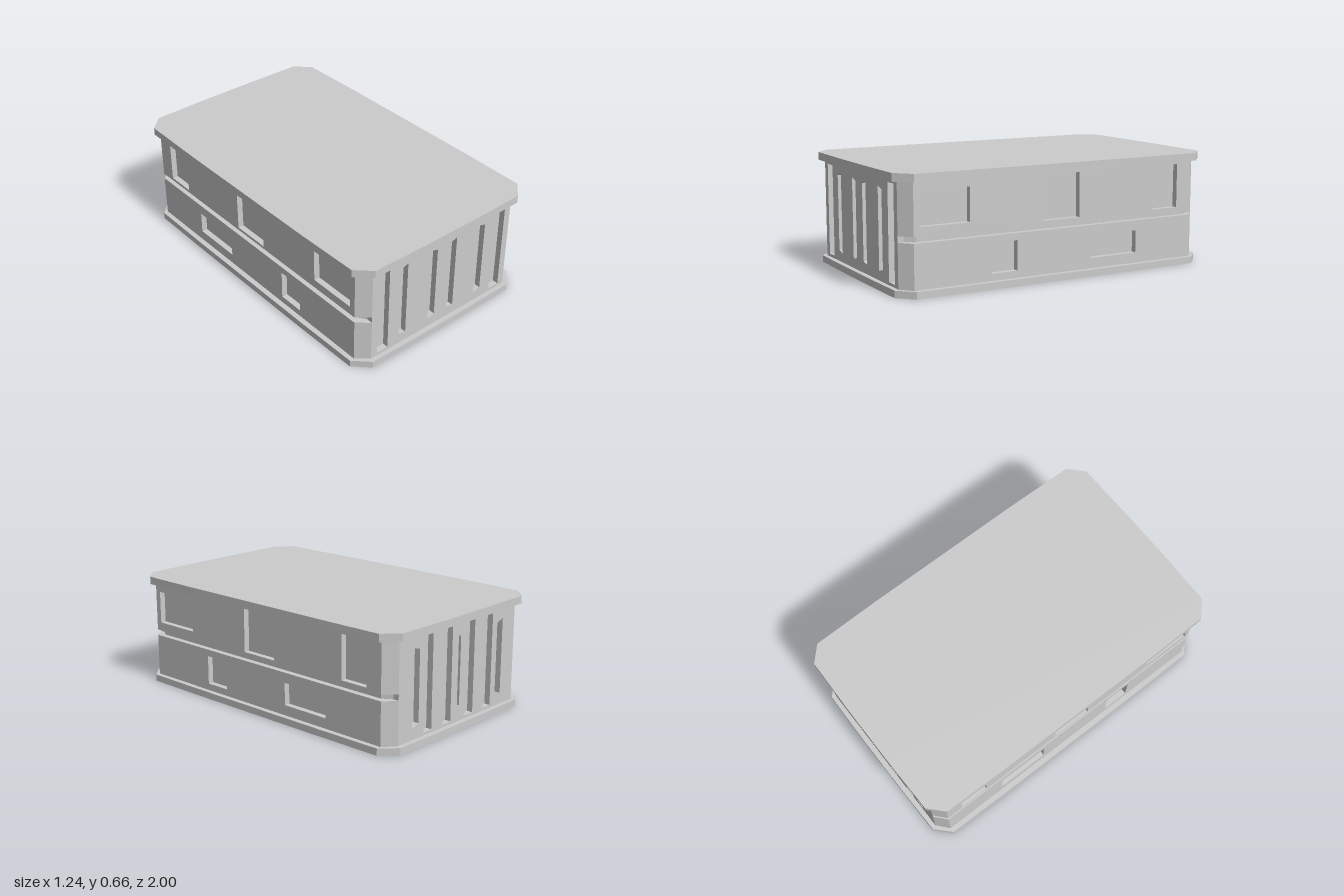
import * as THREE from 'three';

const material = new THREE.MeshStandardMaterial({ color: 0xcccccc, flatShading: true });
const BOTTOM = 0.04, TOP = 0.615;     // body height range
const SKIN = 0.035;                   // depth of recesses and side groove
const TIERS = [[BOTTOM, 0.29], [0.325, TOP]];

const toShape = pts => new THREE.Shape(pts.map(p => new THREE.Vector2(p[0], p[1])));

// upright prism from an (x, z) outline
function prism(name, pts, y0, y1) {
  const geo = new THREE.ExtrudeGeometry(toShape(pts.map(([x, z]) => [x, -z])), { depth: y1 - y0, bevelEnabled: false });
  geo.rotateX(-Math.PI / 2).translate(0, y0, 0);
  const mesh = new THREE.Mesh(geo, material);
  mesh.name = name;
  return mesh;
}

// full outline from the points of the +x +z quarter, listed from the x axis to the z axis
function mirrorQuarter(q) {
  const half = [...q, ...q.slice().reverse().map(([x, z]) => [-x, z])];
  return [...half, ...half.slice().reverse().map(([x, z]) => [x, -z])];
}

// outer wall with recesses cut through it, turned to face its side
function wall(name, halfWidth, [y0, y1], holes, turn, distance) {
  const shape = toShape([[-halfWidth, y0], [halfWidth, y0], [halfWidth, y1], [-halfWidth, y1]]);
  for (const h of holes) shape.holes.push(new THREE.Path(h.map(p => new THREE.Vector2(p[0], p[1]))));
  const geo = new THREE.ExtrudeGeometry(shape, { depth: SKIN, bevelEnabled: false });
  geo.translate(0, 0, distance).rotateY(turn);
  const mesh = new THREE.Mesh(geo, material);
  mesh.name = name;
  return mesh;
}

// four-cornered slot: edge a spans a0..a1, edge b spans b0..b1
const slot = (a, a0, a1, b, b0, b1) => [[a, a0], [b, b0], [b, b1], [a, a1]];
const rect = (a, b, y0, y1) => slot(a, y0, y1, b, y0, y1);
const flip = hole => hole.map(([x, y]) => [-x, y]);
const both = holes => [...holes, ...holes.map(flip)];

export function createModel() {
  const model = new THREE.Group();
  model.name = 'crate';

  // slightly bowed lid and base
  model.add(prism('lid', mirrorQuarter([[0.62, 0.5], [0.614, 0.91], [0.525, 0.994], [0.4, 0.996], [0.2, 1]]), TOP, 0.66));
  model.add(prism('base', mirrorQuarter([[0.612, 0.5], [0.608, 0.9], [0.52, 0.986], [0.4, 0.988], [0.2, 0.991]]), 0, BOTTOM));

  // core, seen at the bottom of the recesses and the groove
  model.add(prism('core', mirrorQuarter([[0.545, 0.87], [0.51, 0.925]]), BOTTOM, TOP));

  // end walls with upright slots
  const frontSlots = both([
    rect(0.392, 0.468, 0.057, 0.595),
    slot(0.263, 0.093, 0.56, 0.313, 0.107, 0.546),
    slot(0.047, 0.107, 0.546, 0.096, 0.093, 0.56),
  ]);
  const backSlots = [...both([
    rect(0.065, 0.135, 0.057, 0.595),
    rect(0.232, 0.3, 0.057, 0.595),
    slot(0.343, 0.122, 0.532, 0.396, 0.105, 0.548),
  ]), rect(-0.01, 0.01, 0.13, 0.53)];
  model.add(wall('frontWall', 0.51, [BOTTOM, TOP], frontSlots, 0, 0.925));
  model.add(wall('backWall', 0.51, [BOTTOM, TOP], backSlots, Math.PI, 0.925));

  // side windows as z range and y range, lower then upper tier
  const windows = [
    [rect(0.28, 0.44, 0.08, 0.25), rect(-0.51, -0.2, 0.1, 0.23)],
    [rect(0.57, 0.865, 0.375, 0.567), rect(-0.12, 0.12, 0.342, 0.597), rect(-0.8, -0.625, 0.342, 0.597)],
  ];
  TIERS.forEach((tier, i) => {
    const level = i ? 'Upper' : 'Lower';
    for (const sx of [1, -1]) {
      const holes = sx > 0 ? windows[i].map(flip) : windows[i];
      model.add(wall((sx > 0 ? 'left' : 'right') + level + 'Wall', 0.9, tier, holes, sx * Math.PI / 2, 0.545));
      // chamfered corner posts
      for (const sz of [1, -1]) {
        const post = [[0.51, 0.96], [0.58, 0.9], [0.545, 0.9], [0.545, 0.87], [0.51, 0.925]];
        model.add(prism('cornerPost' + level, post.map(([x, z]) => [x * sx, z * sz]), ...tier));
      }
    }
  });
  return model;
}
